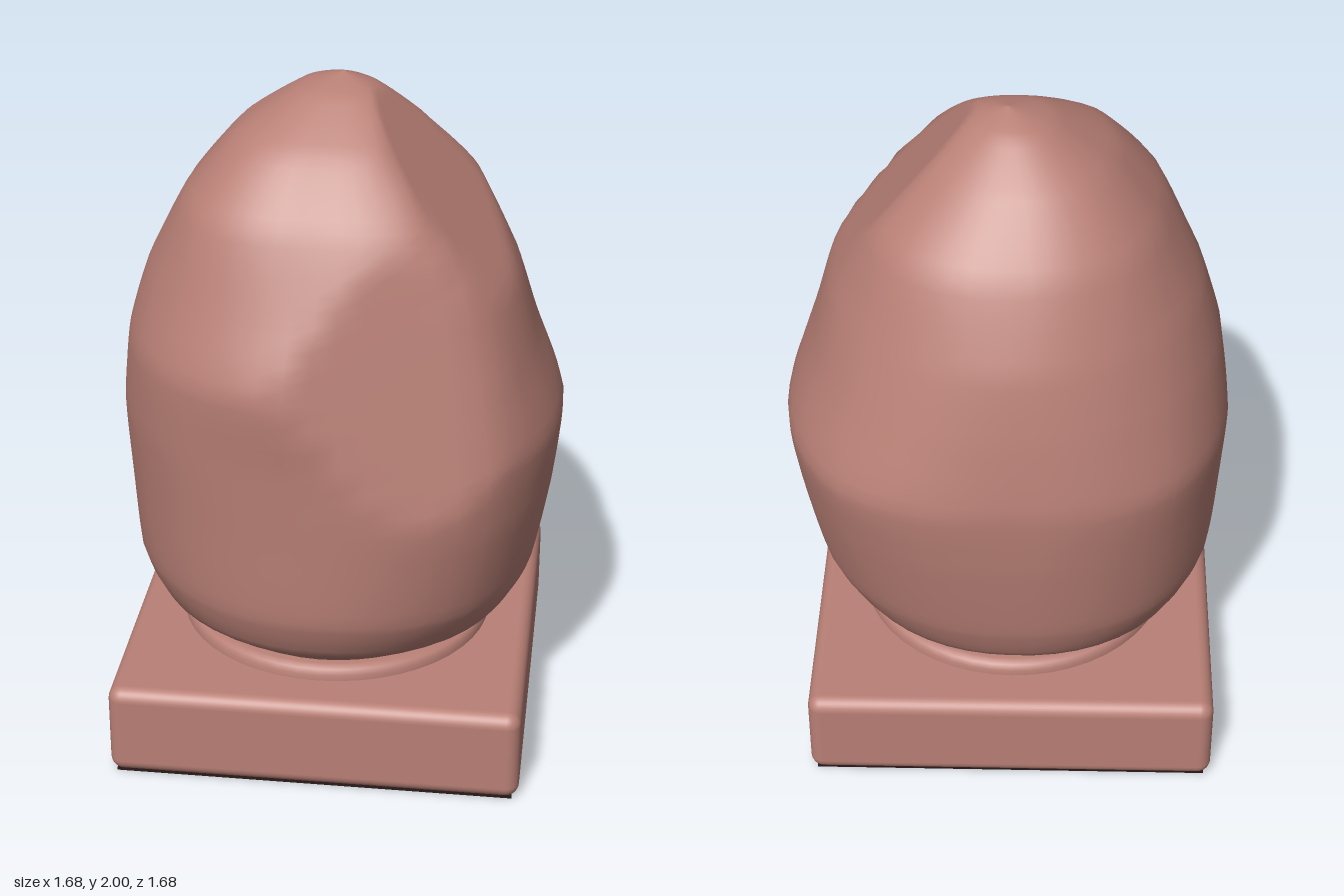
import * as THREE from 'three';
import { RoundedBoxGeometry } from 'three/addons/geometries/RoundedBoxGeometry.js';

// Boulder cross-sections: height, then radius every 45 degrees from +x towards +z
const SECTIONS = [
  [0.32, 0.40, 0.41, 0.41, 0.41, 0.40, 0.42, 0.42, 0.40],
  [0.40, 0.51, 0.53, 0.53, 0.51, 0.52, 0.54, 0.53, 0.50],
  [0.53, 0.58, 0.60, 0.61, 0.565, 0.575, 0.60, 0.59, 0.55],
  [0.80, 0.65, 0.65, 0.67, 0.58, 0.60, 0.62, 0.63, 0.59],
  [1.02, 0.69, 0.67, 0.69, 0.59, 0.62, 0.63, 0.655, 0.605],
  [1.25, 0.61, 0.59, 0.645, 0.61, 0.625, 0.60, 0.60, 0.57],
  [1.45, 0.535, 0.53, 0.58, 0.52, 0.56, 0.54, 0.535, 0.52],
  [1.68, 0.44, 0.41, 0.465, 0.41, 0.475, 0.42, 0.435, 0.41],
  [1.85, 0.26, 0.26, 0.30, 0.27, 0.32, 0.28, 0.29, 0.26],
  [1.96, 0.10, 0.11, 0.13, 0.12, 0.14, 0.13, 0.13, 0.11],
  [2.00, 0, 0, 0, 0, 0, 0, 0, 0],
];

// Flat chips in the stone: outward normal and distance from the origin
const CHIPS = [
  { normal: new THREE.Vector3(-0.46, 0.21, 0.86).normalize(), distance: 0.80 },
  { normal: new THREE.Vector3(0.425, 0.645, 0.633).normalize(), distance: 1.36 },
];

// Half straight, half curved interpolation gives worn facets with soft ridges
function soften(a, b, c, d, t) {
  const straight = b + (c - b) * t;
  const curved = b + 0.5 * t * (c - a + t * (2 * a - 5 * b + 4 * c - d + t * (3 * (b - c) + d - a)));
  return (straight + curved) / 2;
}

function boulderGeometry() {
  const sub = 6, around = 8 * sub, up = (SECTIONS.length - 1) * sub;
  const positions = [], indices = [], point = new THREE.Vector3();

  // Radius of one cross-section, k running 0..8 around
  const sectionRadius = (row, k) => {
    const i = Math.floor(k);
    return soften(...[-1, 0, 1, 2].map((o) => row[((i + o + 8) % 8) + 1]), k - i);
  };

  for (let v = 0; v <= up; v++) {
    const i = Math.min(Math.floor(v / sub), SECTIONS.length - 2), t = v / sub - i;
    const rows = [-1, 0, 1, 2].map((o) => SECTIONS[THREE.MathUtils.clamp(i + o, 0, SECTIONS.length - 1)]);
    const y = Math.min(soften(...rows.map((r) => r[0]), t), 2);
    const lean = 0.025 * THREE.MathUtils.smoothstep(y, 1.8, 2);
    for (let u = 0; u < around; u++) {
      const radius = soften(...rows.map((r) => sectionRadius(r, u / sub)), t);
      const angle = (u / around) * Math.PI * 2;
      point.set(radius * Math.cos(angle) + lean, y, radius * Math.sin(angle));
      for (const { normal, distance } of CHIPS) {
        point.addScaledVector(normal, -Math.max(0, point.dot(normal) - distance));
      }
      positions.push(point.x, point.y, point.z);
      if (v < up) {
        const a = v * around + u, b = v * around + ((u + 1) % around);
        const c = a + around, d = b + around;
        indices.push(a, c, b);
        if (v < up - 1) indices.push(b, c, d);
      }
    }
  }
  const geometry = new THREE.BufferGeometry();
  geometry.setAttribute('position', new THREE.Float32BufferAttribute(positions, 3));
  geometry.setIndex(indices);
  geometry.computeVertexNormals();
  return geometry;
}

export function createModel() {
  const clay = new THREE.MeshStandardMaterial({ color: 0xb98076 });
  clay.name = 'clay';
  const dark = new THREE.MeshStandardMaterial({ color: 0x2a1a19 });
  dark.name = 'darkUnderside';

  const model = new THREE.Group();
  model.name = 'boulderOnPlinth';
  const add = (name, geometry, material, y = 0) => {
    const mesh = new THREE.Mesh(geometry, material);
    mesh.name = name;
    mesh.position.y = y;
    model.add(mesh);
    return mesh;
  };

  // Square plinth turned corner-forward, with a dark underside
  add('plinth', new RoundedBoxGeometry(1.21, 0.282, 1.21, 4, 0.04), clay, 0.146).rotation.y = Math.PI / 4;
  add('underside', new THREE.BoxGeometry(1.17, 0.009, 1.17), dark, 0.0045).rotation.y = Math.PI / 4;

  // Low round collar under the boulder
  const collar = [[0.47, 0.28], [0.47, 0.305], [0.46, 0.32], [0.44, 0.33], [0.3, 0.335]];
  add('collar', new THREE.LatheGeometry(collar.map(([r, y]) => new THREE.Vector2(r, y)), 48), clay);

  add('boulder', boulderGeometry(), clay);
  return model;
}
